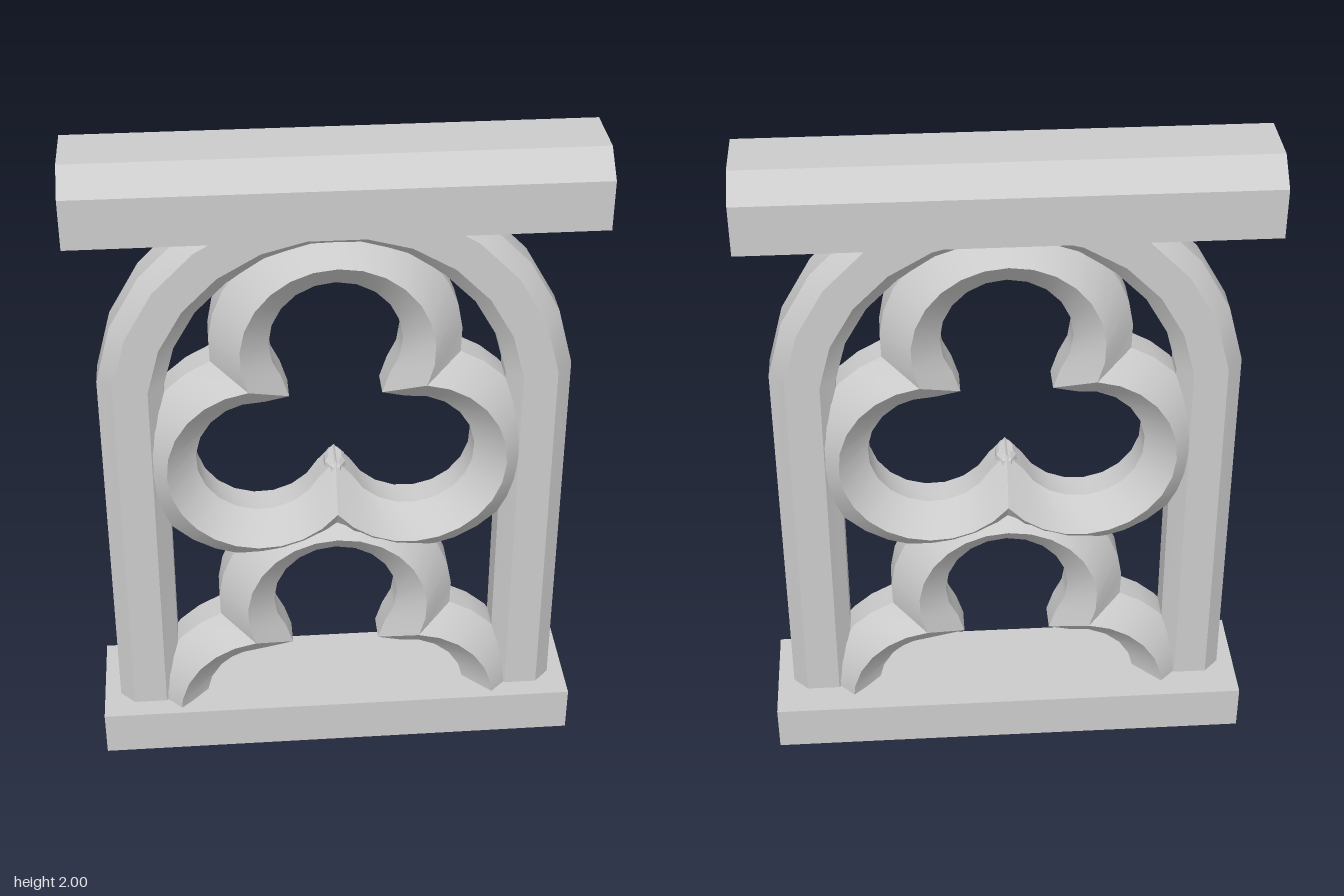
import * as THREE from 'three';

const MID_Z = 0.02; // middle plane of the stonework
const rad = THREE.MathUtils.degToRad;

// Skin a series of closed loops; each lengthwise band is smooth, with sharp edges between bands
function loft(loops) {
  const pos = [], index = [];
  const sides = loops[0].length;
  for (let j = 0; j < sides; j++) {
    const start = pos.length / 3;
    loops.forEach((loop, i) => {
      pos.push(...loop[j], ...loop[(j + 1) % sides]);
      if (i === 0) return;
      const a = start + 2 * (i - 1), b = a + 1, d = a + 2, c = a + 3;
      index.push(a, b, c, a, c, d);
    });
  }
  const geometry = new THREE.BufferGeometry();
  geometry.setAttribute('position', new THREE.Float32BufferAttribute(pos, 3));
  geometry.setIndex(index);
  geometry.computeVertexNormals();
  return geometry;
}

// Octagonal bar running up one side, round the arch and down the other
function archGeometry() {
  const profile = [[-0.095, -0.045], [-0.095, 0.045], [-0.05, 0.09], [0.05, 0.09],
    [0.095, 0.045], [0.095, -0.045], [0.05, -0.09], [-0.05, -0.09]];
  const springY = 1.225, radius = 0.59, footY = 0.1;
  const foot = side => profile.map(([r, z]) => [side * (radius + r), footY, MID_Z + z]);
  const loops = [foot(1)];
  for (let a = 7.5; a < 180; a += 15) {
    const c = Math.cos(rad(a)), s = Math.sin(rad(a));
    loops.push(profile.map(([r, z]) => [(radius + r) * c, springY + (radius + r) * s, MID_Z + z]));
  }
  loops.push(foot(-1));
  return loft(loops);
}

// One lobe of a trefoil: three rails round the lobe centre, each ending on the mitre
// line shared with the neighbouring lobe (the inner rail runs out to a pointed cusp)
function lobeGeometry(centreY, direction) {
  const offset = 0.254, segments = 16, lowest = 0.02;
  const rails = {
    inner: { r: 0.19, end: 0.155 },
    ridge: { r: 0.275, end: 0.292 },
    outer: { r: 0.36, end: 0.412 },
  };
  const profile = [['inner', -0.045], ['inner', 0.045], ['ridge', 0.128],
    ['outer', 0.045], ['outer', -0.045], ['ridge', -0.128]];
  const loops = [];
  for (let i = 0; i <= segments; i++) {
    const t = (2 * i) / segments - 1;
    loops.push(profile.map(([name, z]) => {
      const { r, end } = rails[name];
      // Mitre point in the lobe's own frame, 60 degrees from the lobe axis
      const mx = end * 0.5 - offset, my = end * Math.sqrt(0.75);
      const radius = Math.abs(t) === 1 ? Math.hypot(mx, my) : r;
      const angle = t * Math.atan2(my, mx);
      const u = offset + radius * Math.cos(angle), v = radius * Math.sin(angle);
      const c = Math.cos(direction), s = Math.sin(direction);
      return [u * c - v * s, Math.max(lowest, centreY + u * s + v * c), MID_Z + z];
    }));
  }
  return loft(loops);
}

export function createModel() {
  const model = new THREE.Group();
  const material = new THREE.MeshStandardMaterial({ color: 0xcccccc });
  const add = (name, geometry, parent = model) => {
    const mesh = new THREE.Mesh(geometry, material);
    mesh.name = name;
    parent.add(mesh);
    return mesh;
  };

  // Sill
  add('sill', new THREE.BoxGeometry(1.47, 0.145, 0.344)).position.y = 0.0725;

  // Lintel with bevelled top edges
  const section = new THREE.Shape([[-0.172, 1.79], [0.172, 1.79], [0.172, 1.935],
    [0.092, 2], [-0.092, 2], [-0.172, 1.935]].map(p => new THREE.Vector2(...p)));
  const lintel = new THREE.ExtrudeGeometry(section, { depth: 1.47, bevelEnabled: false });
  lintel.translate(0, 0, -0.735).rotateY(Math.PI / 2);
  add('lintel', lintel);

  // Arched frame
  add('archFrame', archGeometry());

  // Two trefoils, the lower one running down into the sill
  for (const [name, y] of [['upperTrefoil', 1.161], ['lowerTrefoil', 0.246]]) {
    const trefoil = new THREE.Group();
    trefoil.name = name;
    for (let k = 0; k < 3; k++) add('lobe', lobeGeometry(y, rad(90 + 120 * k)), trefoil);
    model.add(trefoil);
  }

  // Blunt faceted knob on the lower cusp of the upper trefoil
  const knobProfile = [[0, 0.84], [0.03, 0.89], [0.038, 0.94], [0.032, 0.99], [0.022, 1.002], [0, 1.002]];
  const knob = new THREE.LatheGeometry(knobProfile.map(p => new THREE.Vector2(...p)), 8, Math.PI / 8)
    .toNonIndexed();
  knob.scale(1, 1, 1.8).translate(0, 0, MID_Z);
  knob.computeVertexNormals();
  add('cuspKnob', knob);

  return model;
}
